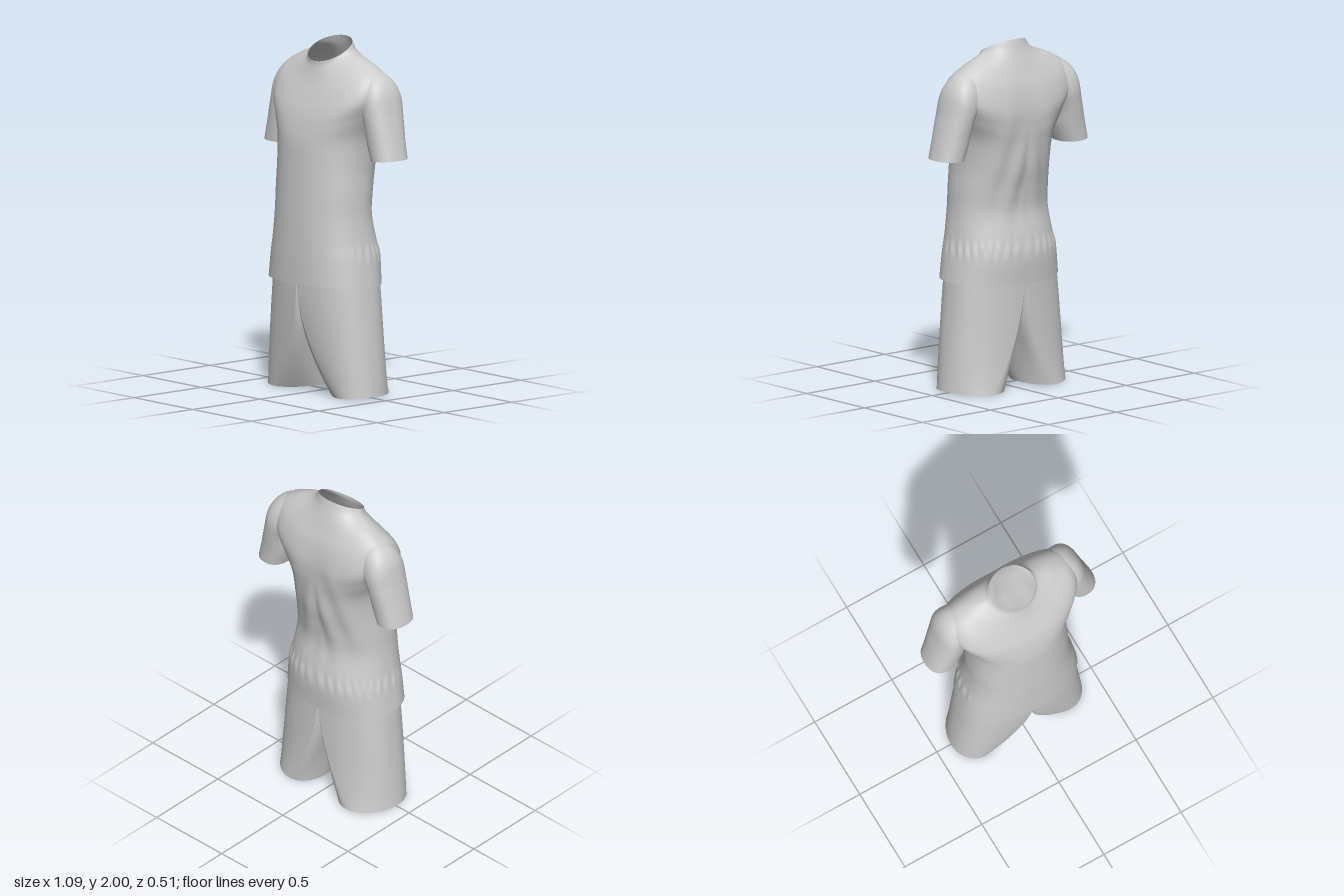
import * as THREE from 'three';

const fabric = new THREE.MeshStandardMaterial({ color: 0xcccccc, side: THREE.DoubleSide });
fabric.name = 'light grey fabric';

// smooth interpolation through the rows of a table, t in 0..1
function sample(rows, t) {
  const f = Math.min(t, 1) * (rows.length - 1);
  const i = Math.min(Math.floor(f), rows.length - 2), k = f - i;
  const last = rows.length - 1;
  return rows[0].map((_, c) => {
    const p1 = rows[i][c], p2 = rows[i + 1][c];
    const p0 = i > 0 ? rows[i - 1][c] : 2 * p1 - p2;
    const p3 = i + 1 < last ? rows[i + 2][c] : 2 * p2 - p1;
    const m1 = (p2 - p0) / 2, m2 = (p3 - p1) / 2, k2 = k * k, k3 = k2 * k;
    return (2 * k3 - 3 * k2 + 1) * p1 + (k3 - 2 * k2 + k) * m1 + (3 * k2 - 2 * k3) * p2 + (k3 - k2) * m2;
  });
}

const power = (v, e) => Math.sign(v) * Math.pow(Math.abs(v), e);
const bump = (v, centre, width) => Math.exp(-(((v - centre) / width) ** 2));

// open tube of cloth: point(angle, t) runs round each ring and down the length
function cloth(name, point, around, along, side = 1) {
  const pos = [], index = [];
  for (let j = 0; j <= along; j++) {
    for (let i = 0; i < around; i++) {
      const [x, y, z] = point((i / around) * Math.PI * 2, j / along);
      pos.push(x * side, y, z);
    }
  }
  for (let j = 0; j < along; j++) {
    for (let i = 0; i < around; i++) {
      const a = j * around + i, b = j * around + ((i + 1) % around);
      const c = a + around, d = b + around;
      if (side > 0) index.push(a, b, c, b, d, c);
      else index.push(a, c, b, b, c, d);
    }
  }
  const geo = new THREE.BufferGeometry();
  geo.setAttribute('position', new THREE.Float32BufferAttribute(pos, 3));
  geo.setIndex(index);
  geo.computeVertexNormals();
  const mesh = new THREE.Mesh(geo, fabric);
  mesh.name = name;
  return mesh;
}

// half width, side y, side z, front y, front z, back y, back z, roundness, tilt exponent
const bodyRings = [
  [0.138, 1.945, -0.02, 1.88, 0.092, 2.0, -0.135, 1, 1],
  [0.168, 1.927, -0.04, 1.845, 0.097, 1.935, -0.155, 1, 1.3],
  [0.28, 1.882, -0.07, 1.77, 0.122, 1.83, -0.195, 0.93, 2],
  [0.378, 1.817, -0.072, 1.68, 0.162, 1.73, -0.233, 0.86, 2],
  [0.407, 1.715, -0.07, 1.6, 0.195, 1.61, -0.256, 0.83, 2],
  [0.355, 1.59, -0.045, 1.51, 0.22, 1.51, -0.256, 0.84, 2],
  [0.306, 1.46, -0.01, 1.42, 0.235, 1.41, -0.247, 0.87, 2],
  [0.293, 1.3, 0.02, 1.29, 0.242, 1.28, -0.232, 0.88, 2],
  [0.298, 1.15, 0.03, 1.15, 0.247, 1.15, -0.207, 0.88, 2],
  [0.303, 1.02, 0.03, 1.02, 0.252, 1.02, -0.195, 0.88, 2],
  [0.32, 0.88, 0.025, 0.88, 0.255, 0.88, -0.22, 0.86, 2],
  [0.341, 0.78, 0.02, 0.77, 0.257, 0.77, -0.238, 0.85, 2],
  [0.362, 0.63, 0.02, 0.635, 0.257, 0.61, -0.23, 0.84, 2],
];

function bodyPoint(a, t) {
  const [w, ys, zs, yf, zf, yb, zb, e, tilt] = sample(bodyRings, t);
  const s = Math.sin(a), s2 = s * s, front = s > 0;
  let x = w * power(Math.cos(a), e);
  const y = ys + ((front ? yf : yb) - ys) * Math.pow(Math.abs(s), tilt);
  let z = zs + ((front ? zf : zb) - zs) * power(Math.abs(s), e);
  // spine hollow, hanging folds down the back, and gathers round the waist
  if (!front) {
    z += 0.012 * bump(x, 0, 0.09) * bump(y, 1.5, 0.25);
    z += 0.007 * s2 * bump(y, 1.25, 0.25) * Math.cos(Math.abs(x) * 42 + (y - 1.2) * 9);
  }
  const gather = 0.004 * bump(y, 0.82, 0.04) * Math.sin(a * 34) * THREE.MathUtils.smoothstep(0.35 - s, 0, 0.3);
  x += gather * Math.cos(a);
  z += gather * s;
  return [x, y, z];
}

// outer x, outer y, inner x, inner y, centre z, half depth
const sleeveRings = [
  [0.27, 1.87, 0.2, 1.68, -0.075, 0.075],
  [0.385, 1.823, 0.25, 1.63, -0.076, 0.11],
  [0.447, 1.745, 0.3, 1.59, -0.075, 0.126],
  [0.482, 1.61, 0.32, 1.54, -0.071, 0.122],
  [0.515, 1.48, 0.335, 1.45, -0.067, 0.113],
  [0.543, 1.365, 0.365, 1.355, -0.065, 0.107],
];

function sleevePoint(a, t) {
  const [ox, oy, ix, iy, zc, rz] = sample(sleeveRings, t);
  const k = (1 + power(Math.cos(a), 0.88)) / 2;
  return [ix + (ox - ix) * k, iy + (oy - iy) * k, zc + rz * power(Math.sin(a), 0.88)];
}

// outside half starts on the hip, inside half starts on the crotch seam
const HIP = { y: 0.68, w: 0.348, front: 0.23, back: -0.215 };
function legPoint(a, t) {
  const c = Math.cos(a), s = Math.sin(a);
  const depth = s > 0 ? HIP.front : -HIP.back;
  const outside = c >= 0;
  const x0 = outside ? HIP.w * power(c, 0.85) : 0;
  const y0 = outside ? HIP.y : 0.4 + (HIP.y - 0.4) * s ** 6;
  const z0 = depth * power(s, outside ? 0.85 : 0.7);
  const x1 = 0.246 + 0.165 * c;
  const y1 = 0.012 - 0.01 * s * s;
  const z1 = -0.03 + 0.183 * s + 0.035 * c;
  const tx = Math.pow(t, 1 + 0.9 * s ** 4), tz = Math.pow(t, 1.8);
  return [x0 + (x1 - x0) * tx, y0 + (y1 - y0) * t, z0 + (z1 - z0) * tz];
}

// waistband hidden under the shirt
function waistPoint(a, t) {
  const s = Math.sin(a), w = HIP.w - 0.03 * (1 - t);
  const depth = (s > 0 ? HIP.front : -HIP.back) - 0.01 * (1 - t);
  return [w * power(Math.cos(a), 0.85), HIP.y + 0.1 * (1 - t), depth * power(s, 0.85)];
}

export function createModel() {
  const model = new THREE.Group();
  model.name = 'shirtAndShorts';

  const shirt = new THREE.Group();
  shirt.name = 'shirt';
  shirt.add(cloth('shirtBody', bodyPoint, 192, 110));

  const shorts = new THREE.Group();
  shorts.name = 'shorts';
  shorts.add(cloth('waistband', waistPoint, 64, 4));

  for (const [label, side] of [['left', 1], ['right', -1]]) {
    shirt.add(cloth(label + 'Sleeve', sleevePoint, 64, 40, side));
    shorts.add(cloth(label + 'Leg', legPoint, 80, 40, side));
  }

  model.add(shirt, shorts);
  return model;
}
